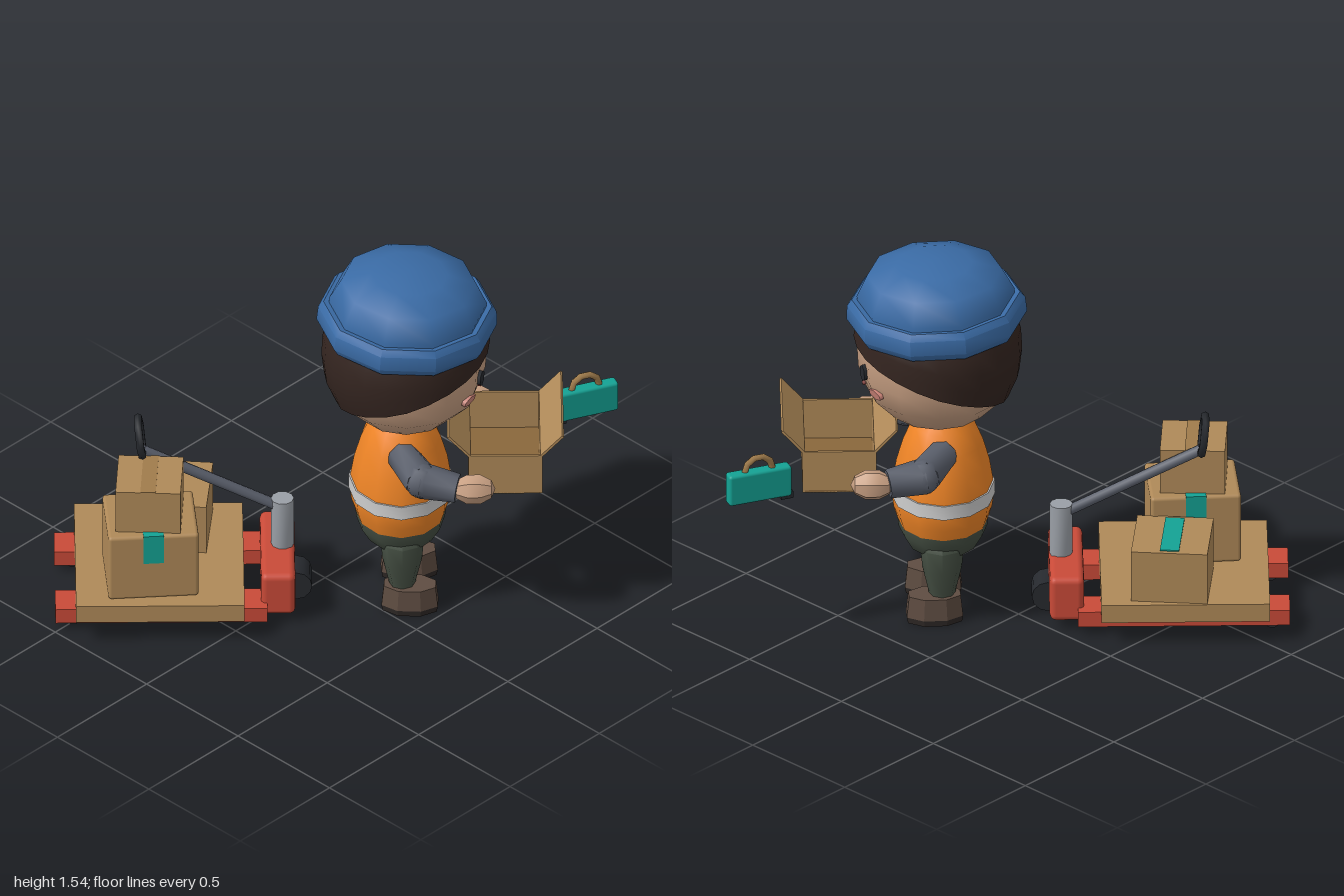
import * as THREE from 'three';
import { toCreasedNormals } from 'three/addons/utils/BufferGeometryUtils.js';
import { RoundedBoxGeometry } from 'three/addons/geometries/RoundedBoxGeometry.js';

const C = {
  hat: 0x3a6ba5, vest: 0xee8426, stripe: 0xcccccc, trousers: 0x444e42, boot: 0x5f4d42, sole: 0x2e2826,
  skin: 0xc79f82, hair: 0x33241f, card: 0xaf8958, cardDark: 0x8a673c, tape: 0xa07c4c, red: 0xc94a38,
  teal: 0x14a294, dark: 0x26292e, metal: 0x9a9fa6, sleeve: 0x595e6a, cheek: 0xcc8478, mouth: 0x7d2f2b,
};

function add(parent, name, geo, color, pos = [0, 0, 0], rot = [0, 0, 0]) {
  const mat = new THREE.MeshStandardMaterial({ color });
  const mesh = new THREE.Mesh(geo, mat);
  mesh.name = name;
  mesh.position.set(...pos);
  mesh.rotation.set(rot[0], rot[1], rot[2], 'YXZ');
  parent.add(mesh);
  return mesh;
}
function group(parent, name, pos = [0, 0, 0], ry = 0) {
  const g = new THREE.Group();
  g.name = name;
  g.position.set(...pos);
  g.rotation.y = ry;
  parent.add(g);
  return g;
}
const box = (w, h, d) => new THREE.BoxGeometry(w, h, d);
const rbox = (w, h, d, r) => new RoundedBoxGeometry(w, h, d, 2, r);
const lathe = (pts, sides, crease = 0.7) =>
  toCreasedNormals(new THREE.LatheGeometry(pts.map(p => new THREE.Vector2(...p)), sides), crease);

// Tapered rod between two points
function rod(parent, name, a, b, ra, rb, color, sides = 8) {
  const A = new THREE.Vector3(...a), B = new THREE.Vector3(...b), d = B.clone().sub(A);
  const m = add(parent, name, toCreasedNormals(new THREE.CylinderGeometry(rb, ra, d.length(), sides), 0.9), color);
  m.position.copy(A).add(B).multiplyScalar(0.5);
  m.quaternion.setFromUnitVectors(new THREE.Vector3(0, 1, 0), d.normalize());
  return m;
}

// Head profile: radius, height
const HEAD = [[0, 0.85], [0.1, 0.853], [0.19, 0.88], [0.28, 0.975], [0.312, 1.07], [0.318, 1.18], [0.3, 1.3], [0.2, 1.38], [0, 1.4]];
function headR(y) {
  for (let i = 1; i < HEAD.length; i++) {
    const [r0, y0] = HEAD[i - 1], [r1, y1] = HEAD[i];
    if (y <= y1) return r0 + (r1 - r0) * (y - y0) / (y1 - y0);
  }
  return 0;
}

function buildHead(worker) {
  const head = group(worker, 'head');
  add(head, 'face', lathe(HEAD, 12, 0.9), C.skin);

  // Hair shell whose lower rim falls from the fringe to the nape
  const shell = new THREE.LatheGeometry(
    [[0.88, 0], [1, 0], [1, 0.25], [1, 0.5], [1, 0.75], [1, 1]].map(p => new THREE.Vector2(...p)), 24);
  const p = shell.attributes.position;
  for (let i = 0; i < p.count; i++) {
    const a = Math.atan2(p.getX(i), p.getZ(i)), k = Math.hypot(p.getX(i), p.getZ(i));
    const rim = 1.08 + 0.12 * Math.cos(a);
    const y = rim + (1.32 - rim) * p.getY(i);
    const r = (headR(y) + 0.015) * k;
    p.setXYZ(i, Math.sin(a) * r, y, Math.cos(a) * r);
  }
  add(head, 'hair', toCreasedNormals(shell, 0.7), C.hair).material.side = THREE.DoubleSide;

  // Beanie: domed crown and rolled brim, tipped slightly forward
  const hat = group(head, 'hat', [0, 1.32, 0.005]);
  hat.rotation.x = 0.045;
  add(hat, 'hatCrown', lathe([[0.3, -0.02], [0.31, 0.07], [0.265, 0.16], [0.15, 0.2], [0, 0.22]], 10, 0.9), C.hat);
  add(hat, 'hatBrim', lathe([[0.29, -0.05], [0.335, -0.06], [0.354, -0.03], [0.35, 0.03], [0.33, 0.055], [0.3, 0.05], [0.29, -0.05]], 10), C.hat);

  // Small flat features laid on the face
  const feature = (name, angle, y, w, h, sides, color) => {
    const g = new THREE.CylinderGeometry(0.5, 0.5, 0.02, sides).rotateX(Math.PI / 2).scale(w, h, 1);
    const r = headR(y) * 0.985;
    add(head, name, g, color, [Math.sin(angle) * r, y, Math.cos(angle) * r], [y < 1.06 ? 0.25 : 0.03, angle, 0]);
  };
  for (const s of [-1, 1]) {
    feature('eye', s * 0.36, 1.095, 0.052, 0.072, 6, C.dark);
    feature('cheek', s * 0.6, 1.03, 0.08, 0.045, 6, C.cheek);
  }
  feature('mouth', 0, 1.005, 0.07, 0.024, 6, C.mouth);
}

function buildWorker(parent) {
  const worker = group(parent, 'worker', [-0.083, 0, 0.315]);
  // Vest, reflective band and hips share an oval section
  const body = group(worker, 'body', [0, 0, -0.02]);
  body.scale.set(1.07, 1, 0.95);
  add(body, 'vest', lathe([[0, 0.385], [0.185, 0.385], [0.203, 0.44], [0.211, 0.5], [0.208, 0.555], [0.192, 0.65], [0.165, 0.74], [0.13, 0.82], [0.09, 0.865], [0, 0.87]], 12), C.vest);
  add(body, 'reflectiveBand', lathe([[0.205, 0.498], [0.216, 0.498], [0.214, 0.557], [0.203, 0.557]], 12), C.stripe);
  add(body, 'hips', lathe([[0, 0.235], [0.09, 0.25], [0.145, 0.29], [0.183, 0.355], [0.187, 0.395], [0, 0.395]], 12), C.trousers);
  buildHead(worker);

  for (const s of [-1, 1]) {
    const leg = group(worker, 'leg');
    add(leg, 'trouserLeg', lathe([[0, 0.1], [0.05, 0.1], [0.055, 0.13], [0.078, 0.23], [0.085, 0.32], [0.05, 0.38], [0, 0.39]], 8, 0.9), C.trousers, [s * 0.107, 0, -0.015]);
    // Eight-sided boot with a darker sole
    const bootGeo = (r0, r1, h) => new THREE.CylinderGeometry(r1, r0, h, 8).rotateY(Math.PI / 8).toNonIndexed();
    for (const [name, r0, r1, h, y, col] of [['boot', 0.098, 0.09, 0.09, 0.07, C.boot], ['sole', 0.094, 0.098, 0.025, 0.0125, C.sole]]) {
      const g = bootGeo(r0, r1, h).scale(0.72, 1, 1.22);
      g.computeVertexNormals();
      add(leg, name, g, col, [s * 0.118, y, 0.015], [0, s * 0.06, 0]);
    }

    // Arm reaching forward around the open box
    const arm = group(worker, 'arm');
    rod(arm, 'upperSleeve', [s * 0.13, 0.745, -0.02], [s * 0.275, 0.72, 0.06], 0.062, 0.072, C.sleeve);
    add(arm, 'elbow', new THREE.SphereGeometry(0.072, 8, 6), C.sleeve, [s * 0.275, 0.72, 0.06]);
    rod(arm, 'foreSleeve', [s * 0.275, 0.72, 0.06], [s * 0.307, 0.705, 0.2], 0.072, 0.058, C.sleeve);
    const hand = new THREE.SphereGeometry(0.063, 7, 5).rotateX(Math.PI / 2).scale(1, 1, 1.35);
    add(arm, 'hand', toCreasedNormals(hand, 0.6), C.skin, [s * 0.305, 0.7, 0.262]);
  }
}

// Open carton with two raised flaps
function buildOpenBox(parent) {
  const g = group(parent, 'openBox', [-0.088, 0.62, 0.703]);
  const w = 0.44, h = 0.18, d = 0.29, t = 0.01;
  add(g, 'boxFloor', box(w, t, d), C.cardDark, [0, t / 2, 0]);
  for (const s of [-1, 1]) {
    add(g, 'boxEnd', box(t, h, d), C.card, [s * (w - t) / 2, h / 2, 0]);
    add(g, 'boxSide', box(w, h, t), C.card, [0, h / 2, s * (d - t) / 2]);
    add(g, 'boxFlap', box(w, 0.127, t).translate(0, 0.0635, 0), C.card, [0, h - 0.003, s * (d - t) / 2], [s * 0.73, 0, 0]);
  }
}

function buildPalletJack(parent) {
  const jack = group(parent, 'palletJack', [-0.083, 0, 0]);
  add(jack, 'jackBody', rbox(0.454, 0.19, 0.135, 0.025), C.red, [0, 0.135, -0.187]);
  for (const s of [-1, 1]) {
    add(jack, 'fork', box(0.133, 0.065, 0.83), C.red, [s * 0.194, 0.068, -0.645]);
    add(jack, 'forkRoller', new THREE.CylinderGeometry(0.03, 0.03, 0.07, 10).rotateZ(Math.PI / 2), C.dark, [s * 0.194, 0.037, -0.99]);
  }
  add(jack, 'steerWheel', toCreasedNormals(new THREE.CylinderGeometry(0.063, 0.063, 0.12, 12).rotateZ(Math.PI / 2), 0.7), C.dark, [0, 0.063, -0.115]);
  add(jack, 'post', toCreasedNormals(new THREE.CylinderGeometry(0.045, 0.045, 0.22, 10), 0.7), C.metal, [0, 0.335, -0.168]);
  rod(jack, 'towBar', [0, 0.4, -0.168], [0, 0.68, -0.715], 0.022, 0.022, C.sleeve);
  add(jack, 'handleLoop', new THREE.TorusGeometry(0.075, 0.017, 6, 6), C.dark, [0, 0.745, -0.725], [-0.12, 0, 0]);

  // Pallet board and stacked cartons
  const load = group(jack, 'load');
  add(load, 'pallet', box(0.695, 0.077, 0.66), C.card, [0, 0.138, -0.65]);

  const large = group(load, 'largeCarton', [-0.143, 0.177, -0.686], 0.07);
  add(large, 'carton', rbox(0.305, 0.297, 0.355, 0.014), C.card, [0, 0.1485, 0]);
  add(large, 'tapeTop', box(0.31, 0.006, 0.08), C.teal, [0, 0.297, 0]);
  for (const s of [-1, 1]) add(large, 'tapeEnd', box(0.006, 0.13, 0.08), C.teal, [s * 0.153, 0.235, 0]);

  const small = group(load, 'smallCarton', [-0.143, 0.474, -0.69], -0.06);
  add(small, 'carton', box(0.25, 0.19, 0.255), C.card, [0, 0.095, 0]);
  add(small, 'tapeTop', box(0.25, 0.004, 0.06), C.tape, [0, 0.191, 0]);

  const low = group(load, 'lowCarton', [0.175, 0.177, -0.6], -0.1);
  add(low, 'carton', box(0.305, 0.218, 0.3), C.card, [0, 0.109, 0]);
  add(low, 'tapeTop', box(0.27, 0.008, 0.075), C.teal, [0, 0.219, 0]);
}

// Hand-held case with an arched grip
function buildCase(parent) {
  const g = group(parent, 'handCase', [0.868, 0.7, 0.577], -0.436);
  add(g, 'caseShell', rbox(0.262, 0.132, 0.054, 0.012), C.teal);
  add(g, 'caseGrip', new THREE.TorusGeometry(0.058, 0.014, 6, 5, Math.PI), C.tape, [0, 0.062, 0]);
  add(g, 'caseFoot', box(0.05, 0.03, 0.044), C.dark, [-0.112, -0.062, 0]);
}

export function createModel() {
  const model = new THREE.Group();
  model.name = 'warehouseScene';
  const turned = group(model, 'turnedScene', [0, 0, 0], Math.PI / 4);
  buildWorker(turned);
  buildOpenBox(turned);
  buildPalletJack(turned);
  buildCase(model);
  return model;
}
